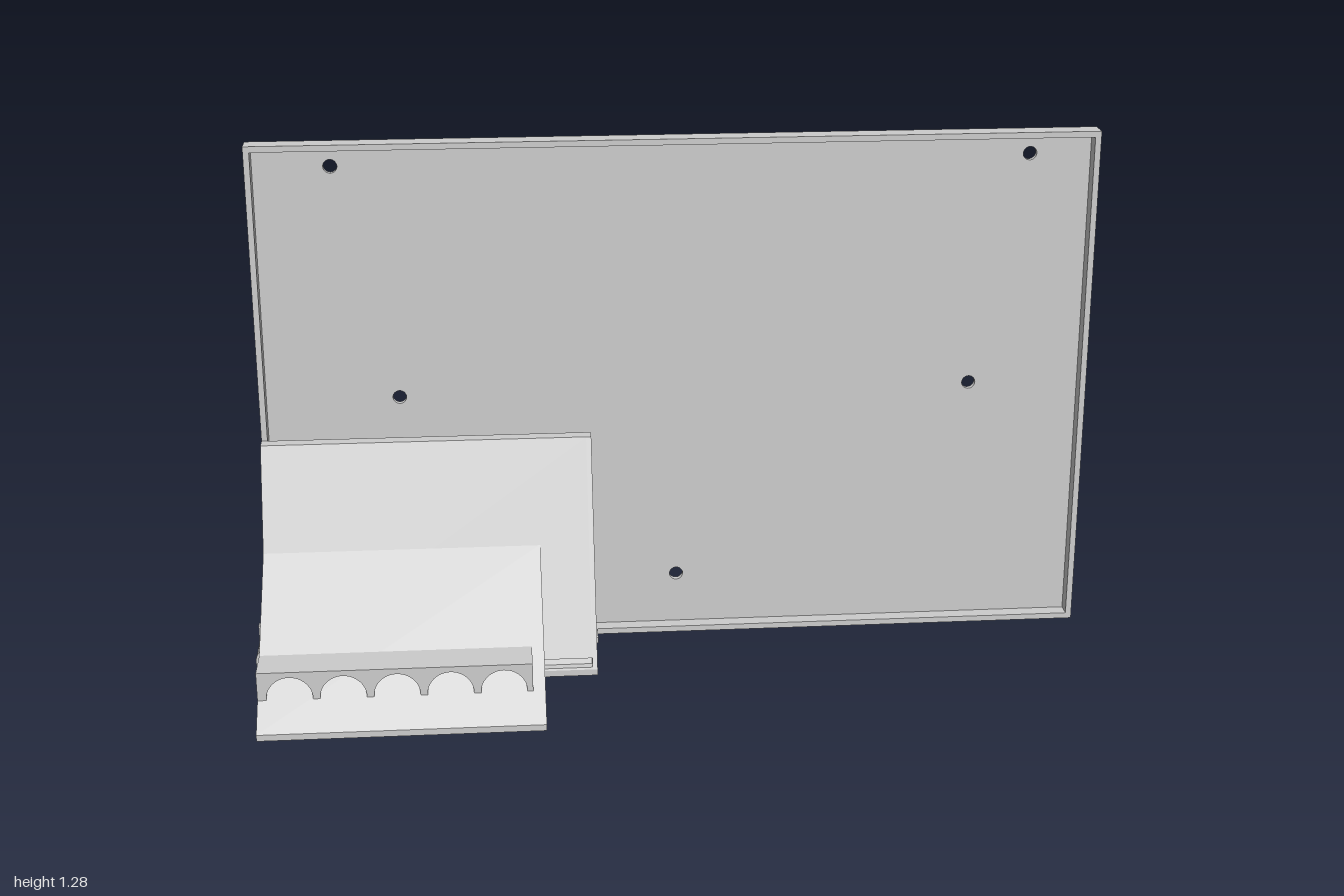
import * as THREE from 'three';

const mat = new THREE.MeshStandardMaterial({ color: 0xcccccc, flatShading: true });
const smooth = new THREE.MeshStandardMaterial({ color: 0xcccccc });

function add(parent, name, geometry, material = mat) {
  const mesh = new THREE.Mesh(geometry, material);
  mesh.name = name;
  parent.add(mesh);
  return mesh;
}

function box(parent, name, x0, x1, y0, y1, z0, z1) {
  const mesh = add(parent, name, new THREE.BoxGeometry(x1 - x0, y1 - y0, z1 - z0));
  mesh.position.set((x0 + x1) / 2, (y0 + y1) / 2, (z0 + z1) / 2);
  return mesh;
}

function rect(Type, x0, x1, y0, y1) {
  const s = new Type();
  s.moveTo(x0, y0);
  s.lineTo(x1, y0);
  s.lineTo(x1, y1);
  s.lineTo(x0, y1);
  s.closePath();
  return s;
}

// extrude a front outline from z0 to z1
function slab(parent, name, shape, z0, z1) {
  const g = new THREE.ExtrudeGeometry(shape, { depth: z1 - z0, bevelEnabled: false, curveSegments: 12 });
  add(parent, name, g.translate(0, 0, z0));
}

// extrude a side profile of [z, y] points from x0 to x1
function sideProfile(parent, name, points, x0, x1) {
  const shape = new THREE.Shape(points.map(([z, y]) => new THREE.Vector2(-z, y)));
  const g = new THREE.ExtrudeGeometry(shape, { depth: x1 - x0, bevelEnabled: false });
  add(parent, name, g.rotateY(Math.PI / 2).translate(x0, 0, 0));
}

export function createModel() {
  const root = new THREE.Group();
  root.name = 'panelWithRack';

  // shallow tray: thin floor with screw holes, and a raised rim
  const panel = new THREE.Group();
  panel.name = 'panel';
  root.add(panel);
  const floor = rect(THREE.Shape, -0.96, 1, 0.05, 1.28);
  for (const [x, y] of [[-0.77, 1.223], [0.843, 1.223], [-0.635, 0.665], [0.722, 0.665], [0.018, 0.19]]) {
    const hole = new THREE.Path();
    hole.absarc(x, y, 0.016, 0, Math.PI * 2, true);
    floor.holes.push(hole);
  }
  slab(panel, 'panelFloor', floor, -0.262, -0.248);
  const rim = rect(THREE.Shape, -0.96, 1, 0.05, 1.28);
  rim.holes.push(rect(THREE.Path, -0.946, 0.986, 0.064, 1.266));
  slab(panel, 'panelRim', rim, -0.248, -0.212);

  // tall sloping bracket with a narrow groove near its foot
  const foot = 0.015, top = -0.18;
  const slopeZ = (y) => foot + ((y - 0.065) / (0.577 - 0.065)) * (top - foot);
  const start = [[-0.212, 0.05], [foot, 0.05], [foot, 0.065]];
  const end = [[top, 0.577], [-0.212, 0.577]];
  const groove = [[slopeZ(0.07), 0.07], [slopeZ(0.07) - 0.02, 0.07], [slopeZ(0.09) - 0.02, 0.09], [slopeZ(0.09), 0.09]];
  sideProfile(root, 'bracket', [...start, ...groove, ...end], -0.96, -0.2);
  sideProfile(root, 'bracketCheek', [...start, ...end], -0.2, -0.188);
  box(root, 'bracketTab', -0.2, -0.178, 0.05, 0.065, -0.212, -0.16);

  // lower ramp in front of the bracket
  sideProfile(root, 'ramp', [[-0.09, 0.05], [0.287, 0.05], [0.287, 0.065], [-0.092, 0.343]], -0.96, -0.315);

  // scalloped rail with five arches
  const rail = new THREE.Shape();
  rail.moveTo(-0.96, 0.115);
  for (let i = 0; i < 5; i++) {
    const cx = -0.888 + i * 0.12;
    rail.lineTo(cx - 0.052, 0.115);
    rail.absarc(cx, 0.118, 0.052, Math.PI, 0, true);
    rail.lineTo(cx + 0.052, 0.115);
  }
  rail.lineTo(-0.343, 0.115);
  rail.lineTo(-0.343, 0.183);
  rail.lineTo(-0.96, 0.183);
  rail.closePath();
  slab(root, 'scallopedRail', rail, 0.125, 0.218);

  // corner barrel: end plate and hollow sleeve
  box(root, 'cornerPlate', -1, -0.92, 0.003, 0.087, -0.262, -0.246);
  const profile = [[0.025, -0.246], [0.041, -0.246], [0.041, -0.246], [0.041, -0.133],
    [0.041, -0.133], [0.025, -0.133], [0.025, -0.133], [0.025, -0.246]];
  const sleeve = add(root, 'cornerSleeve',
    new THREE.LatheGeometry(profile.map(([r, z]) => new THREE.Vector2(r, z)), 32).rotateX(Math.PI / 2), smooth);
  sleeve.position.set(-0.958, 0.044, 0);

  // small tapered pegs on the back
  for (const [x, y] of [[-0.573, 0.303], [-0.637, 0.218], [-0.65, 0.115], [-0.958, 0.046]]) {
    const peg = add(root, 'backPeg', new THREE.CylinderGeometry(0.012, 0.008, 0.026, 16).rotateX(Math.PI / 2));
    peg.position.set(x, y, -0.274);
  }
  return root;
}
